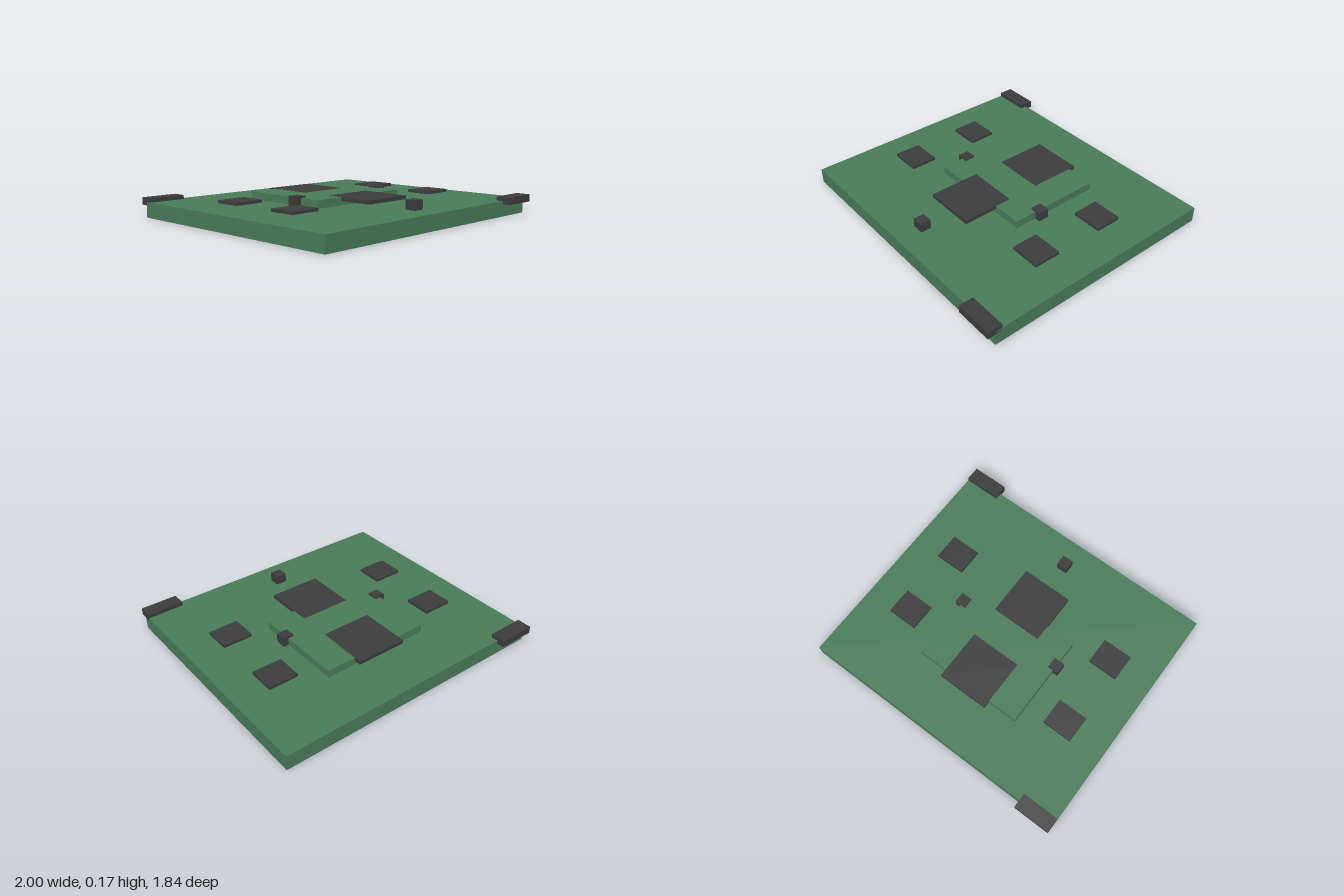
import * as THREE from 'three';

export function createModel() {
  const model = new THREE.Group();
  const green = new THREE.MeshStandardMaterial({ color: 0x4a7c59 });
  green.name = 'boardGreen';
  const dark = new THREE.MeshStandardMaterial({ color: 0x3d3d3d });
  dark.name = 'darkGrey';

  // Box given by its centre in x and z, its footprint and its bottom and top
  function addBox(name, material, x, z, width, depth, bottom, top) {
    const mesh = new THREE.Mesh(new THREE.BoxGeometry(width, top - bottom, depth), material);
    mesh.name = name;
    mesh.position.set(x, (bottom + top) / 2, z);
    model.add(mesh);
  }

  // Base board and the raised plate in its middle
  addBox('baseBoard', green, 0, 0, 2, 1.73, 0, 0.108);
  addBox('raisedPlate', green, 0, -0.135, 0.8, 0.67, 0.108, 0.162);

  // Square slabs let into the plate, just proud of its top
  addBox('frontSlab', dark, 0, 0.265, 0.37, 0.37, 0.137, 0.163);
  addBox('backSlab', dark, 0, -0.337, 0.37, 0.37, 0.137, 0.163);

  // Four thin pads, hovering slightly above the board
  for (const side of [-1, 1]) {
    for (const end of [-1, 1]) {
      addBox('pad', dark, side * 0.664, end * 0.267, 0.215, 0.19, 0.127, 0.147);
    }
  }

  // Small cubes at the plate sides and in front
  for (const [x, z] of [[-0.4, 0], [0.4, 0], [0, 0.665]]) {
    addBox('cube', dark, x, z, 0.08, 0.077, 0.097, 0.174);
  }

  // Bars over opposite corners of the board
  for (const side of [-1, 1]) {
    addBox('cornerBar', dark, side * 0.867, side * 0.867, 0.266, 0.104, 0.085, 0.136);
  }

  return model;
}
